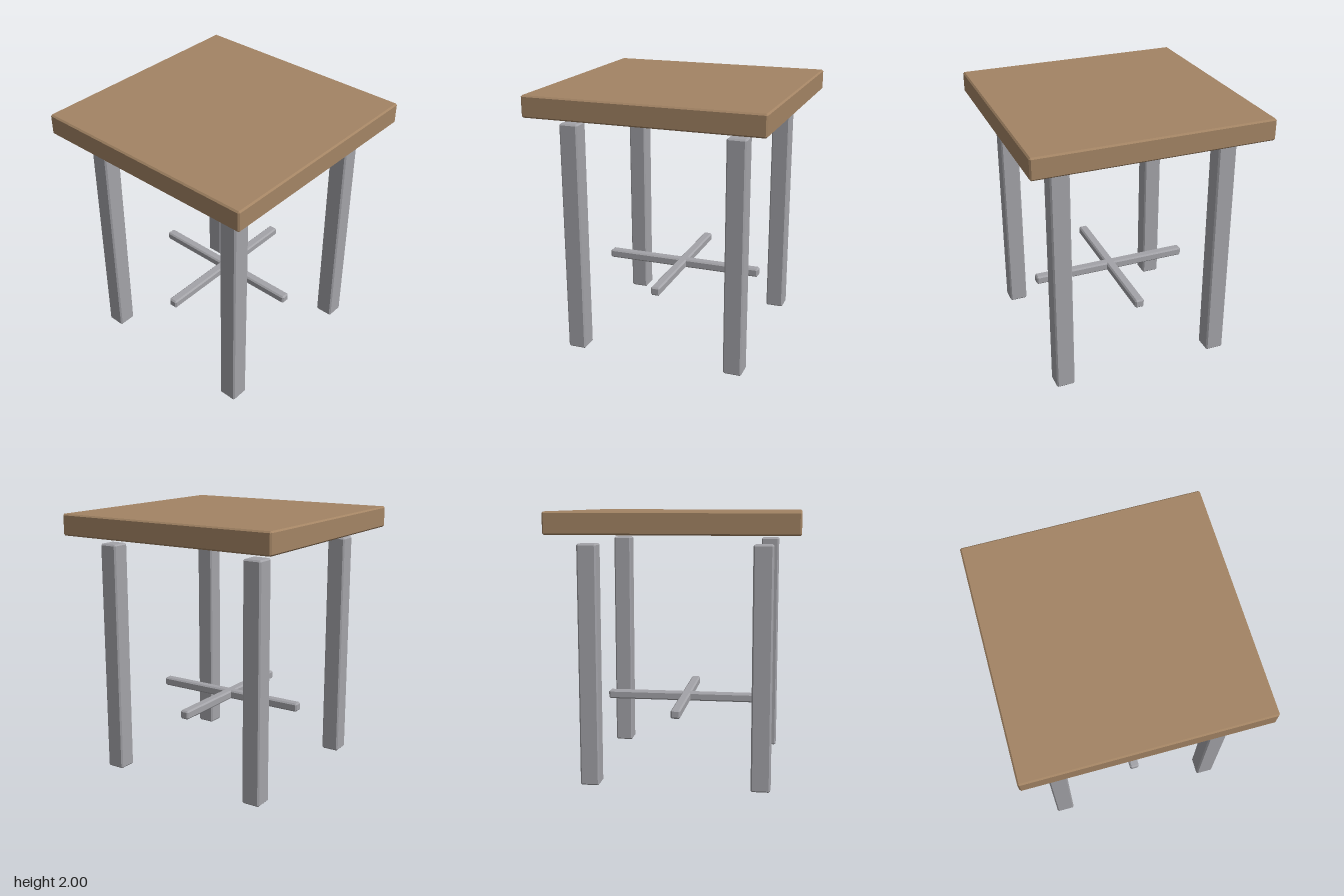
import * as THREE from 'three';
import { ConvexGeometry } from 'three/addons/geometries/ConvexGeometry.js';

const wood = new THREE.MeshStandardMaterial({ color: 0xa38464 });
const metal = new THREE.MeshStandardMaterial({ color: 0xa3a3a8 });

// Box with a single flat chamfer on every edge
function chamferBox(w, h, d, c) {
  const points = [];
  for (const sx of [-1, 1]) for (const sy of [-1, 1]) for (const sz of [-1, 1]) {
    for (const [ix, iy, iz] of [[0, c, c], [c, 0, c], [c, c, 0]]) {
      points.push(new THREE.Vector3(sx * (w / 2 - ix), sy * (h / 2 - iy), sz * (d / 2 - iz)));
    }
  }
  return new ConvexGeometry(points);
}

export function createModel() {
  const table = new THREE.Group();
  table.name = 'table';

  const add = (name, geometry, material, x, y, z) => {
    const mesh = new THREE.Mesh(geometry, material);
    mesh.name = name;
    mesh.position.set(x, y, z);
    table.add(mesh);
    return mesh;
  };

  // Square top, held clear of the legs
  add('tabletop', chamferBox(1.77, 0.16, 1.77, 0.011), wood, 0, 1.92, 0);

  // Four square legs
  const legGeometry = chamferBox(0.141, 1.772, 0.141, 0.011);
  for (const [side, x] of [['Left', 0.626], ['Right', -0.626]]) {
    for (const [end, z] of [['front', 0.626], ['back', -0.626]]) {
      add(`${end}${side}Leg`, legGeometry, metal, x, 0.886, z);
    }
  }

  // Crossed stretcher bars, meeting at the centre
  const barGeometry = chamferBox(1.25, 0.066, 0.071, 0.011);
  add('sideToSideStretcher', barGeometry, metal, 0, 0.538, 0);
  add('frontToBackStretcher', barGeometry, metal, 0, 0.538, 0).rotation.y = Math.PI / 2;

  return table;
}
